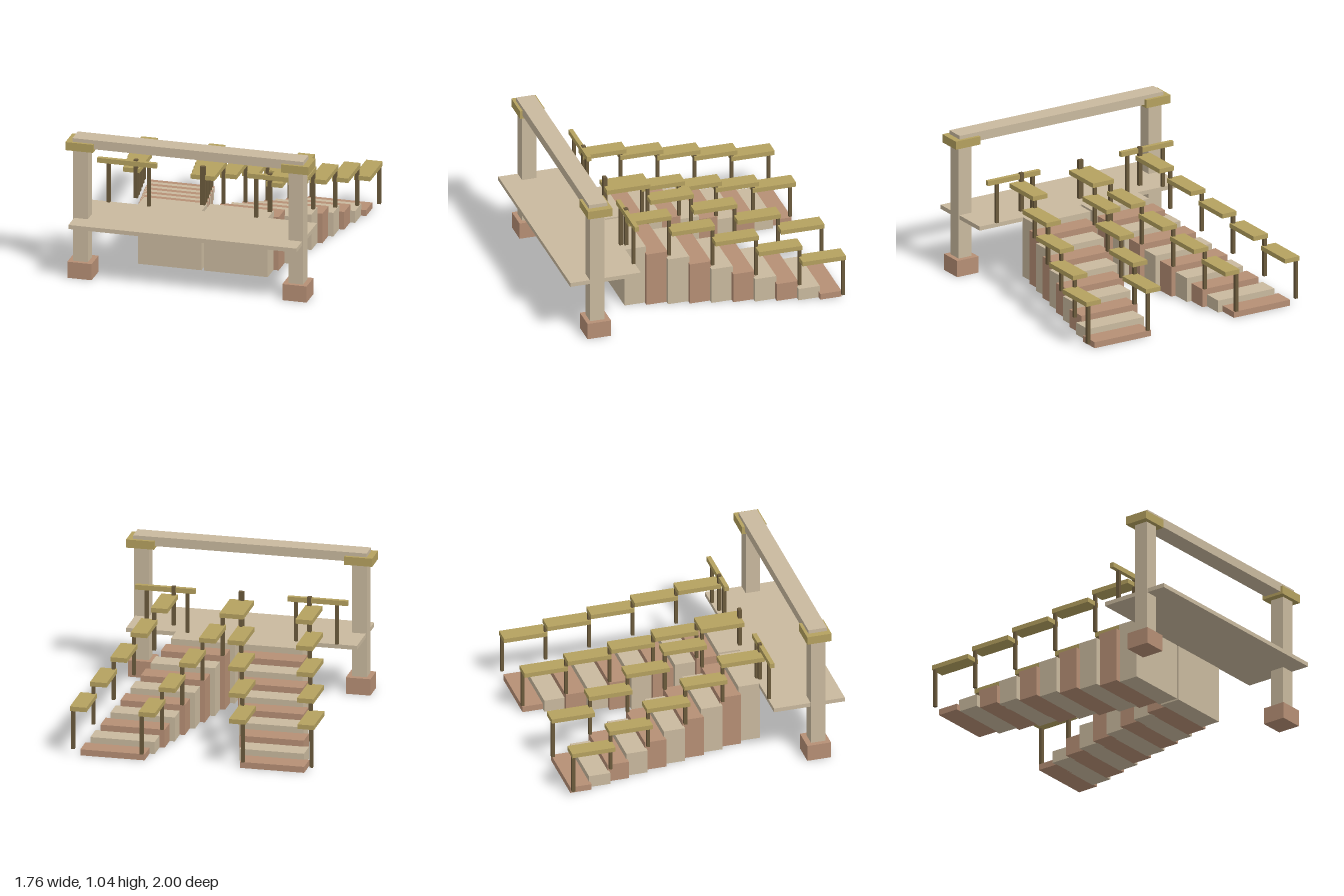
import * as THREE from 'three';

export function createModel() {
  const model = new THREE.Group();
  model.name = 'twinStaircase';

  const mat = (name, color) => {
    const m = new THREE.MeshStandardMaterial({ color });
    m.name = name;
    return m;
  };
  const sand = mat('sandStone', 0xc9b99e);
  const clay = mat('clayStone', 0xb68f75);
  const gold = mat('goldenWood', 0xb5a15f);
  const dark = mat('darkWood', 0x6b5a3c);

  // Box given by its minimum and maximum corner
  const box = (name, material, x0, x1, y0, y1, z0, z1) => {
    const mesh = new THREE.Mesh(new THREE.BoxGeometry(x1 - x0, y1 - y0, z1 - z0), material);
    mesh.position.set((x0 + x1) / 2, (y0 + y1) / 2, (z0 + z1) / 2);
    mesh.name = name;
    model.add(mesh);
  };
  // The same box on both sides of x = 0
  const pair = (name, material, x0, x1, ...rest) => {
    box(name + 'Left', material, x0, x1, ...rest);
    box(name + 'Right', material, -x1, -x0, ...rest);
  };

  // Landing
  box('landing', sand, -0.825, 0.825, 0.41, 0.44, 0.485, 1.0);

  // Gate: footings, pillars, capitals and lintel
  pair('footing', clay, 0.69, 0.866, 0, 0.12, 0.715, 0.887);
  pair('pillar', sand, 0.726, 0.832, 0.12, 0.95, 0.752, 0.857);
  pair('capital', gold, 0.68, 0.88, 0.95, 1.01, 0.71, 0.887);
  box('lintel', sand, -0.835, 0.835, 0.97, 1.037, 0.732, 0.867);

  // Two flights of steps that drift apart as they descend
  for (let i = 0; i < 10; i++) {
    const x = 0.24 + 0.0367 * i;
    const z = 0.49 - 0.147 * i;
    pair('step' + (i + 1), i % 2 ? clay : sand, x - 0.23, x + 0.23, 0, 0.044 * (10 - i), z - 0.155, z);
  }

  // Stepped handrails, each slat carried by a post at its lower end
  for (let k = 0; k < 5; k++) {
    const y = 0.71 - 0.0885 * k;
    const z = 0.495 - 0.294 * k;
    for (const [side, start] of [['inner', 0.027], ['outer', 0.517]]) {
      const x = start + 0.0742 * k;
      pair(side + 'Handrail' + (k + 1), gold, x - 0.059, x + 0.059, y - 0.033, y, z - 0.315, z);
      pair(side + 'HandrailPost' + (k + 1), dark, x + 0.026, x + 0.05,
        0.396 - 0.088 * k, y - 0.033, z - 0.313, z - 0.29);
    }
  }

  // Landing balustrades and newel posts
  pair('balustradeRail', gold, 0.33, 0.76, 0.73, 0.765, 0.477, 0.508);
  for (const x of [0.388, 0.68]) pair('balustradePost', dark, x - 0.012, x + 0.012, 0.44, 0.73, 0.481, 0.504);
  pair('newelPost', dark, 0.471, 0.499, 0.49, 0.775, 0.472, 0.498);
  box('centreNewelPost', dark, -0.019, 0.019, 0.49, 0.775, 0.472, 0.499);

  return model;
}
